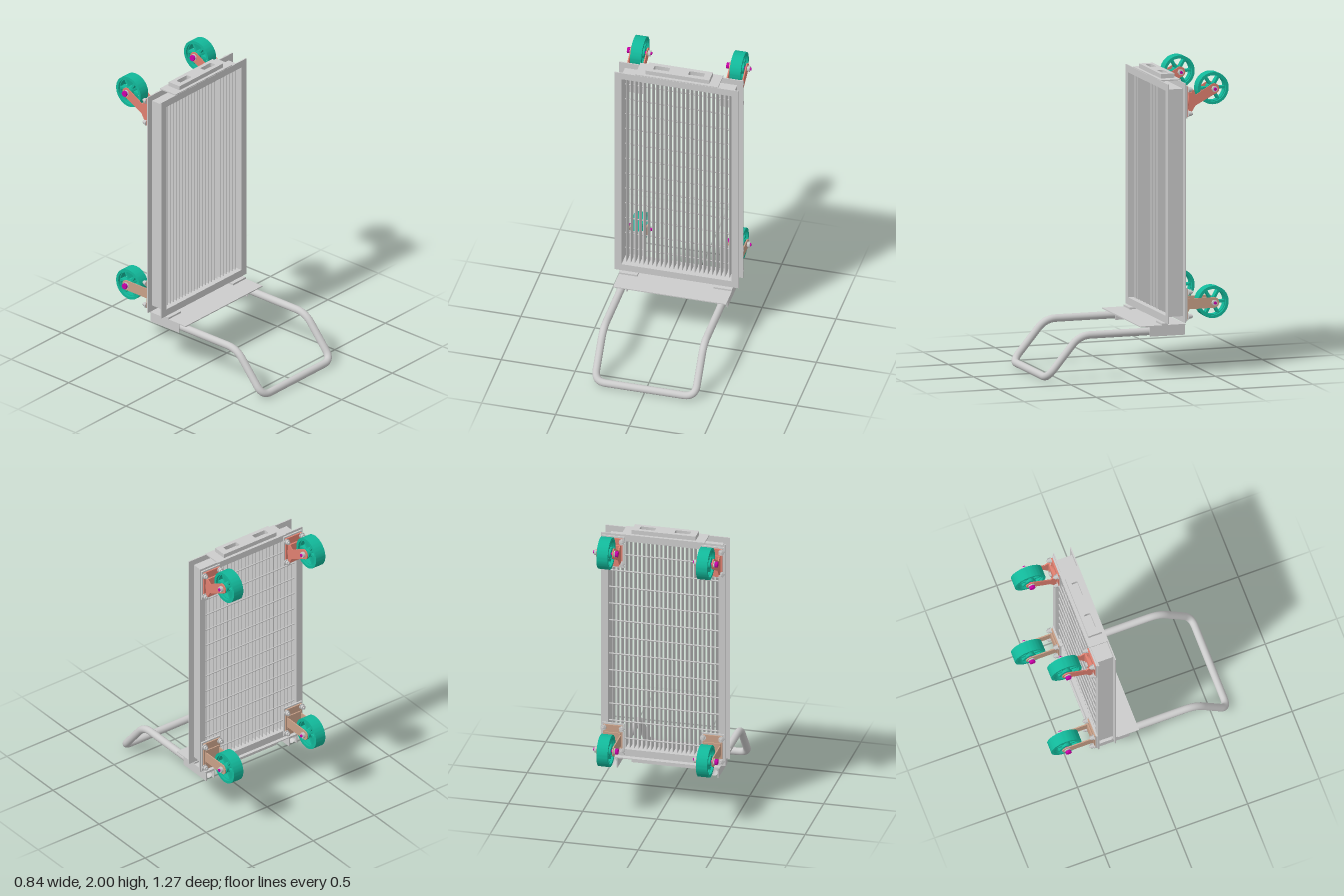
import * as THREE from 'three';
import { toCreasedNormals } from 'three/addons/utils/BufferGeometryUtils.js';

const material = (color) => new THREE.MeshStandardMaterial({ color, side: THREE.DoubleSide });
const grey = material(0xcccccc), teal = material(0x12b89a), salmon = material(0xe08070);
const tan = material(0xc8a088), magenta = material(0xcc00aa);

function add(parent, name, geometry, mat = grey, x = 0, y = 0, z = 0) {
  const mesh = new THREE.Mesh(geometry, mat);
  mesh.name = name;
  mesh.position.set(x, y, z);
  parent.add(mesh);
  return mesh;
}

// Box given by its minimum and maximum on each axis
function box(parent, name, [x0, x1], [y0, y1], [z0, z1], mat = grey) {
  return add(parent, name, new THREE.BoxGeometry(x1 - x0, y1 - y0, z1 - z0), mat,
    (x0 + x1) / 2, (y0 + y1) / 2, (z0 + z1) / 2);
}

const extrude = (shape, depth) => toCreasedNormals(
  new THREE.ExtrudeGeometry(shape, { depth, bevelEnabled: false, curveSegments: 40 }), 0.5);

// Side profile (distance behind, height) extruded along x, centred
const sideways = (shape, width) => extrude(shape, width).translate(0, 0, -width / 2).rotateY(Math.PI / 2);

function rect(w, h, r = 0, Type = THREE.Shape, cx = 0, cy = 0) {
  const s = new Type(), x = w / 2, y = h / 2;
  if (!r) {
    return s.setFromPoints([[-x, -y], [x, -y], [x, y], [-x, y]].map(([a, b]) => new THREE.Vector2(cx + a, cy + b)));
  }
  s.absarc(cx + x - r, cy + y - r, r, 0, Math.PI / 2);
  s.absarc(cx - x + r, cy + y - r, r, Math.PI / 2, Math.PI);
  s.absarc(cx - x + r, cy - y + r, r, Math.PI, Math.PI * 1.5);
  s.absarc(cx + x - r, cy - y + r, r, Math.PI * 1.5, Math.PI * 2);
  s.closePath();
  return s;
}

// Rectangular ring
function rectRing(w, h, band, depth) {
  const s = rect(w, h);
  s.holes.push(rect(w - 2 * band, h - 2 * band, 0, THREE.Path));
  return extrude(s, depth);
}

const axial = (r, len, sides = 24) => new THREE.CylinderGeometry(r, r, len, sides).rotateZ(Math.PI / 2);
const facing = (r, len, sides = 24) => new THREE.CylinderGeometry(r, r, len, sides).rotateX(Math.PI / 2);

function buildFrame(root) {
  const frame = new THREE.Group();
  frame.name = 'frame';
  root.add(frame);
  // Outward-opening channel: two flanges and a web
  add(frame, 'frontFlange', rectRing(0.84, 1.59, 0.048, 0.008), grey, 0, 1.15, -0.208);
  add(frame, 'rearFlange', rectRing(0.84, 1.59, 0.048, 0.008), grey, 0, 1.15, -0.326);
  add(frame, 'channelWeb', rectRing(0.76, 1.51, 0.008, 0.118), grey, 0, 1.15, -0.322);

  // Grating: deep upright bars with thin cross rods
  for (let i = -12; i <= 12; i++) {
    box(frame, 'gratingBar', [i * 0.029 - 0.0022, i * 0.029 + 0.0022], [0.4, 1.9], [-0.3, -0.235]);
  }
  for (let i = 0; i < 12; i++) {
    add(frame, 'crossRod', axial(0.005, 0.744, 8), grey, 0, 0.47 + i * 0.12, -0.3);
  }

  // End covers with slotted pads
  const pad = rect(0.432, 0.095);
  for (const x of [-0.118, 0.118]) pad.holes.push(rect(0.105, 0.042, 0.008, THREE.Path, x, 0));
  const padGeometry = extrude(pad, 0.03).rotateX(-Math.PI / 2);
  box(frame, 'topCover', [-0.28, 0.28], [1.943, 1.951], [-0.338, -0.202]);
  add(frame, 'topPad', padGeometry, grey, 0, 1.95, -0.27);
  add(frame, 'bottomPad', padGeometry, grey, 0, 0.31, -0.27);
}

function buildHandle(root) {
  // Toe plate, sleeves and bent tube
  box(root, 'toePlate', [-0.382, 0.382], [0.336, 0.343], [-0.335, -0.025]);
  for (const s of [-1, 1]) {
    const x = s * 0.34;
    box(root, 'plateTab', [s * 0.32 - 0.062, s * 0.32 + 0.062], [0.343, 0.355], [-0.215, -0.172]);
    box(root, 'sleeveTop', [x - 0.034, x + 0.034], [0.328, 0.336], [-0.335, -0.09]);
    for (const t of [-1, 1]) {
      const wall = x + t * 0.031;
      box(root, 'sleeveWall', [wall - 0.004, wall + 0.004], [0.27, 0.336], [-0.335, -0.09]);
    }
  }
  const corners = [[-0.34, 0.3, -0.32], [-0.34, 0.3, 0.385], [-0.34, 0.03, 0.61],
    [0.34, 0.03, 0.61], [0.34, 0.3, 0.385], [0.34, 0.3, -0.32]].map((p) => new THREE.Vector3(...p));
  const path = new THREE.CurvePath();
  let from = corners[0];
  for (let i = 1; i < corners.length - 1; i++) {
    const c = corners[i];
    const toward = (p) => c.clone().add(p.clone().sub(c).setLength(0.075));
    const a = toward(corners[i - 1]), b = toward(corners[i + 1]);
    path.add(new THREE.LineCurve3(from, a));
    path.add(new THREE.QuadraticBezierCurve3(a, c, b));
    from = b;
  }
  path.add(new THREE.LineCurve3(from, corners[5]));
  add(root, 'handleTube', new THREE.TubeGeometry(path, 200, 0.025, 20));
}

function buildWheel() {
  const wheel = new THREE.Group();
  wheel.name = 'wheel';
  const circle = (r, Type = THREE.Shape) => new Type().absarc(0, 0, r, 0, Math.PI * 2);
  const tread = circle(0.1065);
  tread.holes.push(circle(0.088, THREE.Path));
  add(wheel, 'tread', sideways(tread, 0.076), teal);
  // Spoked disc
  const disc = circle(0.09);
  for (let i = 0; i < 6; i++) {
    const a = i * Math.PI / 3, b = a + Math.PI / 3;
    const inner = 0.24, outer = 0.09;
    const window = new THREE.Path();
    window.absarc(0, 0, 0.083, a + outer, b - outer);
    window.absarc(0, 0, 0.033, b - inner, a + inner, true);
    window.closePath();
    disc.holes.push(window);
  }
  add(wheel, 'spokes', sideways(disc, 0.045), teal);
  add(wheel, 'hub', axial(0.03, 0.076), teal);
  return wheel;
}

// Caster centred on its mounting plate, pointing to -z
function buildCaster(swivel) {
  const caster = new THREE.Group();
  caster.name = swivel ? 'swivelCaster' : 'fixedCaster';
  const paint = swivel ? salmon : tan;
  const axleY = swivel ? 0.075 : 0, axleZ = -0.205;
  box(caster, 'backingPlate', [-0.075, 0.075], [-0.11, 0.11], [-0.012, 0]);
  box(caster, 'mountPlate', [-0.065, 0.065], [-0.1, 0.1], [-0.022, -0.012], paint);

  // Plate bolts
  for (const x of [-0.062, 0.062]) {
    for (const y of [-0.08, 0.08]) {
      add(caster, 'washer', facing(0.02, 0.006), grey, x, y, -0.024);
      add(caster, 'nut', facing(0.016, 0.018, 6), grey, x, y, -0.035);
      add(caster, 'boltEnd', facing(0.009, 0.03, 12), grey, x, y, -0.038);
    }
  }

  // Fork legs and bridge
  const outline = swivel
    ? [[0.03, -0.075], [0.05, -0.07], [0.075, -0.03], [0.21, 0.04]]
    : [[0.02, -0.035], [0.205, -0.035]];
  const leg = new THREE.Shape(outline.map((p) => new THREE.Vector2(...p)));
  const turn = swivel ? -1.1 : -Math.PI / 2;
  leg.absarc(-axleZ, axleY, 0.035, turn, turn + Math.PI);
  if (swivel) {
    leg.lineTo(0.075, 0.04);
    leg.lineTo(0.05, 0.06);
    leg.lineTo(0.03, 0.06);
  } else leg.lineTo(0.02, 0.035);
  leg.closePath();
  const legGeometry = sideways(leg, 0.008);
  for (const x of [-0.053, 0.053]) add(caster, 'forkLeg', legGeometry, paint, x);
  if (swivel) {
    add(caster, 'swivelRace', facing(0.055, 0.016, 32), paint, 0, -0.01, -0.028);
    box(caster, 'forkBridge', [-0.055, 0.055], [-0.075, 0.06], [-0.046, -0.034], paint);
    add(caster, 'kingpin', facing(0.018, 0.014, 6), grey, 0, -0.01, -0.052);
  } else {
    box(caster, 'forkBridge', [-0.055, 0.055], [-0.05, 0.05], [-0.03, -0.02], paint);
  }

  // Wheel and axle
  const wheel = buildWheel();
  wheel.position.set(0, axleY, axleZ);
  caster.add(wheel);
  add(caster, 'axle', axial(0.01, 0.16, 16), magenta, 0.003, axleY, axleZ);
  add(caster, 'axleHead', axial(0.02, 0.018, 6), magenta, -0.074, axleY, axleZ);
  add(caster, 'axleWasher', axial(0.022, 0.006), grey, -0.06, axleY, axleZ);
  add(caster, 'axleNut', axial(0.02, 0.018, 6), grey, 0.066, axleY, axleZ);
  return caster;
}

export function createModel() {
  const root = new THREE.Group();
  root.name = 'meshPanelTrolley';
  buildFrame(root);
  buildHandle(root);
  for (const x of [-0.336, 0.336]) {
    for (const swivel of [true, false]) {
      const caster = buildCaster(swivel);
      caster.position.set(x, swivel ? 1.82 : 0.475, -0.325);
      root.add(caster);
    }
  }
  return root;
}
